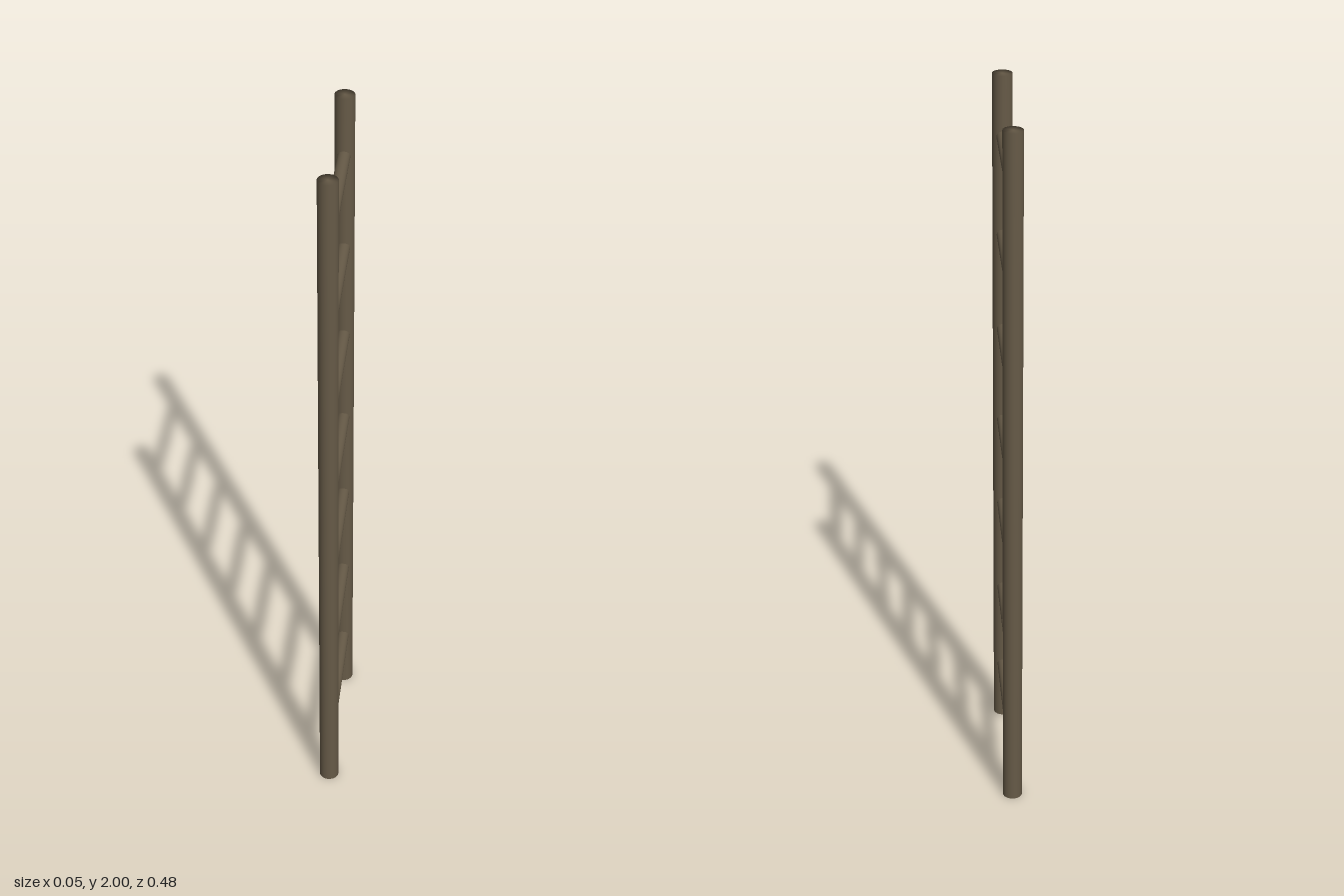
import * as THREE from 'three';
import { mergeVertices } from 'three/addons/utils/BufferGeometryUtils.js';

// Round pole whose normals blend softly over the end caps
function softPole(radius, length, sides) {
  const geometry = new THREE.CylinderGeometry(radius, radius, length, sides);
  geometry.deleteAttribute('normal');
  geometry.deleteAttribute('uv');
  const merged = mergeVertices(geometry, 1e-4);
  merged.computeVertexNormals();
  return merged;
}

export function createModel() {
  const ladder = new THREE.Group();
  ladder.name = 'ladder';
  const wood = new THREE.MeshStandardMaterial({ color: 0x66594a });
  wood.color.set(0x665a47);

  // Two upright rails
  const railZ = 0.213;
  const railGeometry = softPole(0.027, 2, 32);
  for (const side of [1, -1]) {
    const rail = new THREE.Mesh(railGeometry, wood);
    rail.name = side > 0 ? 'frontRail' : 'backRail';
    rail.position.set(0, 1, side * railZ);
    ladder.add(rail);
  }

  // Rungs, their ends set into the rails
  const rungGeometry = new THREE.CylinderGeometry(0.017, 0.017, railZ * 2 - 0.03, 24);
  rungGeometry.rotateX(Math.PI / 2);
  [0.178, 0.443, 0.723, 0.99, 1.27, 1.55, 1.83].forEach((y, i) => {
    const rung = new THREE.Mesh(rungGeometry, wood);
    rung.name = `rung${i + 1}`;
    rung.position.y = y;
    ladder.add(rung);
  });

  return ladder;
}
